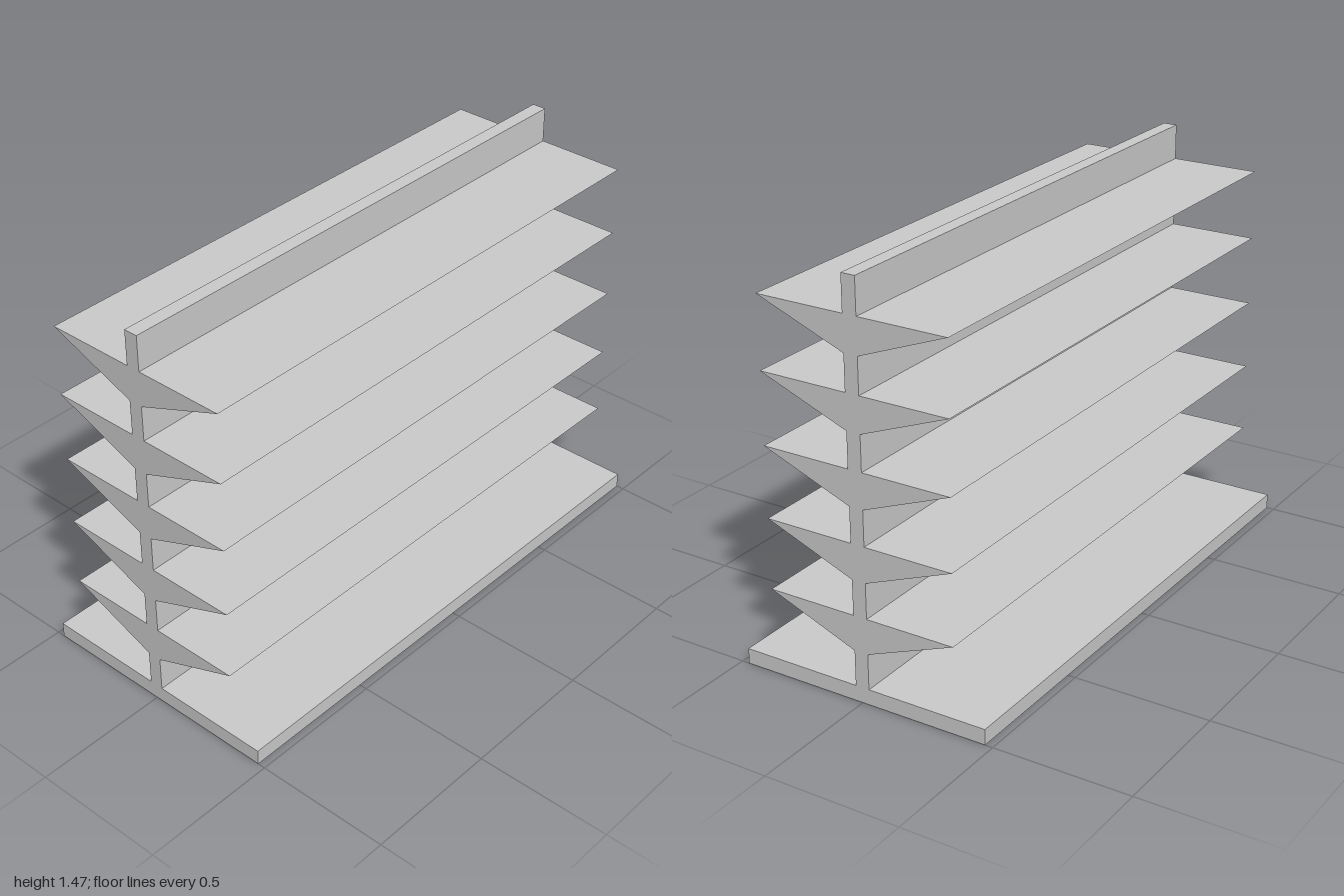
import * as THREE from 'three';

const LENGTH = 2;
const HEIGHT = 1.466;
const BASE = { halfDepth: 0.472, height: 0.056 };
const SPINE_HALF = 0.026;
const SHELF = { count: 5, firstTop: 0.313, pitch: 0.256, thickness: 0.128, tip: 0.357 };

export function createModel() {
  const model = new THREE.Group();
  const material = new THREE.MeshStandardMaterial({ color: 0xcccccc, flatShading: true });

  const add = (name, geometry, x, y, z, parent = model) => {
    const mesh = new THREE.Mesh(geometry, material);
    mesh.name = name;
    mesh.position.set(x, y, z);
    parent.add(mesh);
    return mesh;
  };

  // Flat base plate
  add('basePlate', new THREE.BoxGeometry(LENGTH, BASE.height, BASE.halfDepth * 2), 0, BASE.height / 2, 0);

  // Upright central wall
  const wallHeight = HEIGHT - BASE.height;
  add('centralWall', new THREE.BoxGeometry(LENGTH, wallHeight, SPINE_HALF * 2), 0, BASE.height + wallHeight / 2, 0);

  // Wedge shelf: flat top, underside sloping back down to the wall
  const profile = new THREE.Shape([
    new THREE.Vector2(-SPINE_HALF, -SHELF.thickness),
    new THREE.Vector2(-SPINE_HALF, 0),
    new THREE.Vector2(-SHELF.tip, 0),
  ]);
  const wedge = new THREE.ExtrudeGeometry(profile, { depth: LENGTH, bevelEnabled: false });
  wedge.translate(0, 0, -LENGTH / 2);
  wedge.rotateY(Math.PI / 2);

  // Pairs of shelves up the wall, front and back
  for (let i = 0; i < SHELF.count; i++) {
    const pair = new THREE.Group();
    pair.name = `shelfPair${i + 1}`;
    pair.position.y = SHELF.firstTop + i * SHELF.pitch;
    add('frontShelf', wedge, 0, 0, 0, pair);
    add('backShelf', wedge, 0, 0, 0, pair).rotation.y = Math.PI;
    model.add(pair);
  }

  return model;
}
